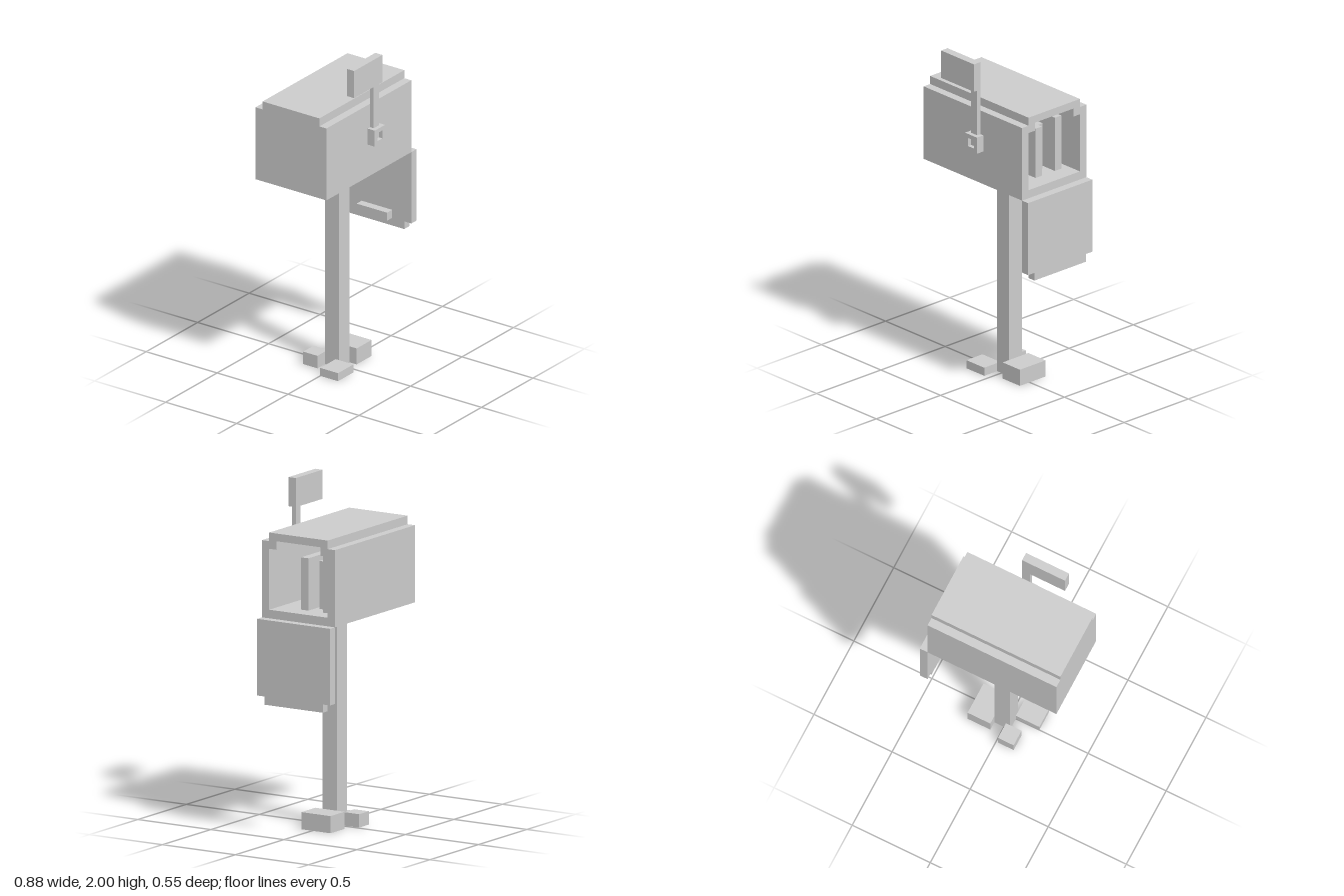
import * as THREE from 'three';

const material = new THREE.MeshStandardMaterial({ color: 0xcccccc, flatShading: true });

// Box given by its min and max along each axis
function box(name, [x0, x1], [y0, y1], [z0, z1]) {
  const geometry = new THREE.BoxGeometry(x1 - x0, y1 - y0, z1 - z0);
  geometry.translate((x0 + x1) / 2, (y0 + y1) / 2, (z0 + z1) / 2);
  const mesh = new THREE.Mesh(geometry, material);
  mesh.name = name;
  return mesh;
}

// Outline across the box, centred on the post: a rectangle with one stepped end
function steppedPoints(half, base, shoulder, tip) {
  const inner = half - 0.05;
  return [
    [-half, base], [half, base], [half, shoulder], [inner, shoulder],
    [inner, tip], [-inner, tip], [-inner, shoulder], [-half, shoulder],
  ].map(([a, b]) => new THREE.Vector2(a, b));
}

// Extrude an outline along x, from x0 to x1
function extrudeX(name, points, x0, x1, hole) {
  const shape = new THREE.Shape(points);
  if (hole) shape.holes.push(new THREE.Path(hole));
  const geometry = new THREE.ExtrudeGeometry(shape, { depth: x1 - x0, bevelEnabled: false });
  geometry.rotateY(Math.PI / 2);
  geometry.translate(x0, 0, -0.025);
  const mesh = new THREE.Mesh(geometry, material);
  mesh.name = name;
  return mesh;
}

export function createModel() {
  const model = new THREE.Group();
  model.name = 'mailbox';

  // Hollow box with a closed end
  const outer = steppedPoints(0.25, 1.25, 1.7, 1.75);
  const opening = steppedPoints(0.2, 1.3, 1.655, 1.705);
  model.add(extrudeX('boxShell', outer, -0.3875, 0.3875, opening));
  model.add(extrudeX('boxEndWall', outer, -0.4375, -0.3875));

  // Open door hanging below the mouth, with its inner handle
  model.add(extrudeX('door', steppedPoints(0.25, 1.25, 0.803, 0.755), 0.3875, 0.4375));
  model.add(box('doorHandle', [0.3375, 0.3875], [0.803, 0.853], [-0.125, 0.09]));

  // Letters standing inside: back z, top y, front x
  for (const [z, top, x] of [[-0.025, 1.605, 0.285], [-0.1, 1.58, 0.21], [-0.175, 1.63, 0.285]]) {
    model.add(box('letter', [x - 0.45, x], [1.3, top], [z, z + 0.05]));
  }

  // Signal flag on its arm, pivoting in a square bracket
  const flag = new THREE.Group();
  flag.name = 'flag';
  flag.add(box('flagPanel', [-0.2375, 0.0375], [1.83, 2], [0.225, 0.275]));
  flag.add(box('flagArm', [-0.0125, 0.0375], [1.475, 1.83], [0.225, 0.25]));
  const frame = new THREE.Shape([[-0.05, -0.05], [0.05, -0.05], [0.05, 0.05], [-0.05, 0.05]]
    .map(([x, y]) => new THREE.Vector2(x, y)));
  frame.holes.push(new THREE.Path([[-0.025, -0.025], [-0.025, 0.025], [0.025, 0.025], [0.025, -0.025]]
    .map(([x, y]) => new THREE.Vector2(x, y))));
  const bracket = new THREE.Mesh(
    new THREE.ExtrudeGeometry(frame, { depth: 0.05, bevelEnabled: false }), material);
  bracket.name = 'flagBracket';
  bracket.position.set(0.0125, 1.503, 0.225);
  flag.add(bracket);
  model.add(flag);

  // Post and the stones around its foot
  model.add(box('post', [-0.0375, 0.0625], [0, 1.25], [-0.075, 0.025]));
  model.add(box('largeStone', [0.0625, 0.2075], [0, 0.1], [-0.125, 0.075]));
  model.add(box('flatStone', [-0.1875, -0.0375], [0, 0.05], [0, 0.125]));
  model.add(box('smallStone', [-0.1125, -0.0125], [0, 0.078], [-0.175, -0.075]));

  return model;
}
